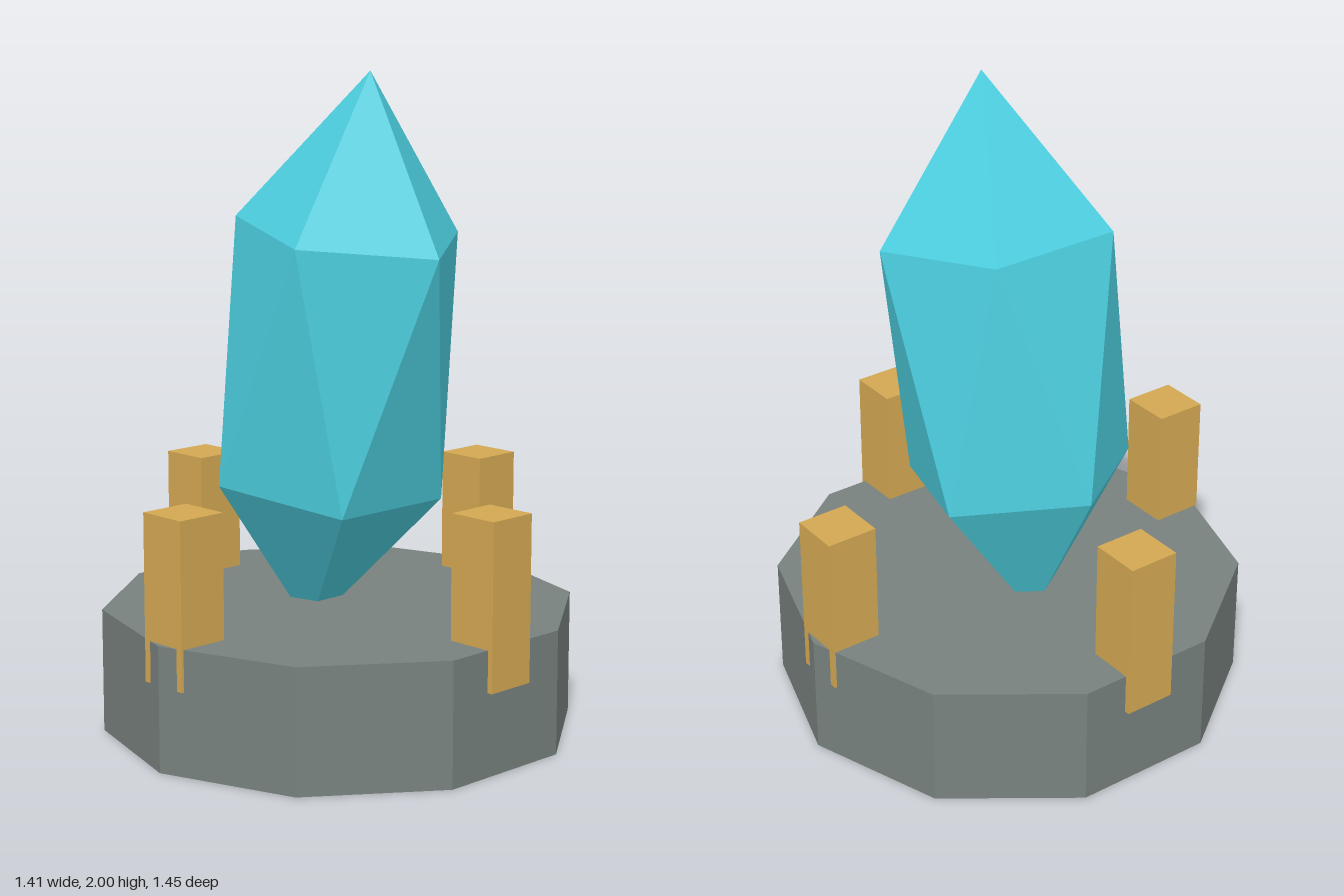
import * as THREE from 'three';

const mat = (color) => new THREE.MeshStandardMaterial({ color, flatShading: true });

function addMesh(group, name, geometry, material) {
  const mesh = new THREE.Mesh(geometry, material);
  mesh.name = name;
  group.add(mesh);
  return mesh;
}

export function createModel() {
  const model = new THREE.Group();
  model.name = 'crystalOnPedestal';

  // Ten-sided stone base
  const baseHeight = 0.38;
  addMesh(model, 'stoneBase',
    new THREE.CylinderGeometry(0.726, 0.726, baseHeight, 10).translate(0, baseHeight / 2, 0),
    mat(0x78827e));

  // Crystal: icosahedron stood on a vertex, stretched upwards and tilted
  const golden = (1 + Math.sqrt(5)) / 2;
  const crystal = addMesh(model, 'crystal',
    new THREE.IcosahedronGeometry(0.4, 0)
      .rotateX(-Math.atan(golden))
      .rotateY(Math.PI / 2)
      .scale(1, 2.1875, 1),
    mat(0x4dd0e1));
  crystal.position.y = 1.135;
  crystal.rotation.z = -0.149;

  // Four gold prongs around the rim
  const gold = mat(0xd4a853);
  const prongGeometry = new THREE.BoxGeometry(0.162, 0.504, 0.162);
  ['frontProng', 'leftProng', 'backProng', 'rightProng'].forEach((name, i) => {
    const angle = (i * Math.PI) / 2;
    const prong = addMesh(model, name, prongGeometry, gold);
    prong.position.set(Math.sin(angle) * 0.626, 0.506, Math.cos(angle) * 0.626);
    prong.rotation.y = angle;
  });

  return model;
}
